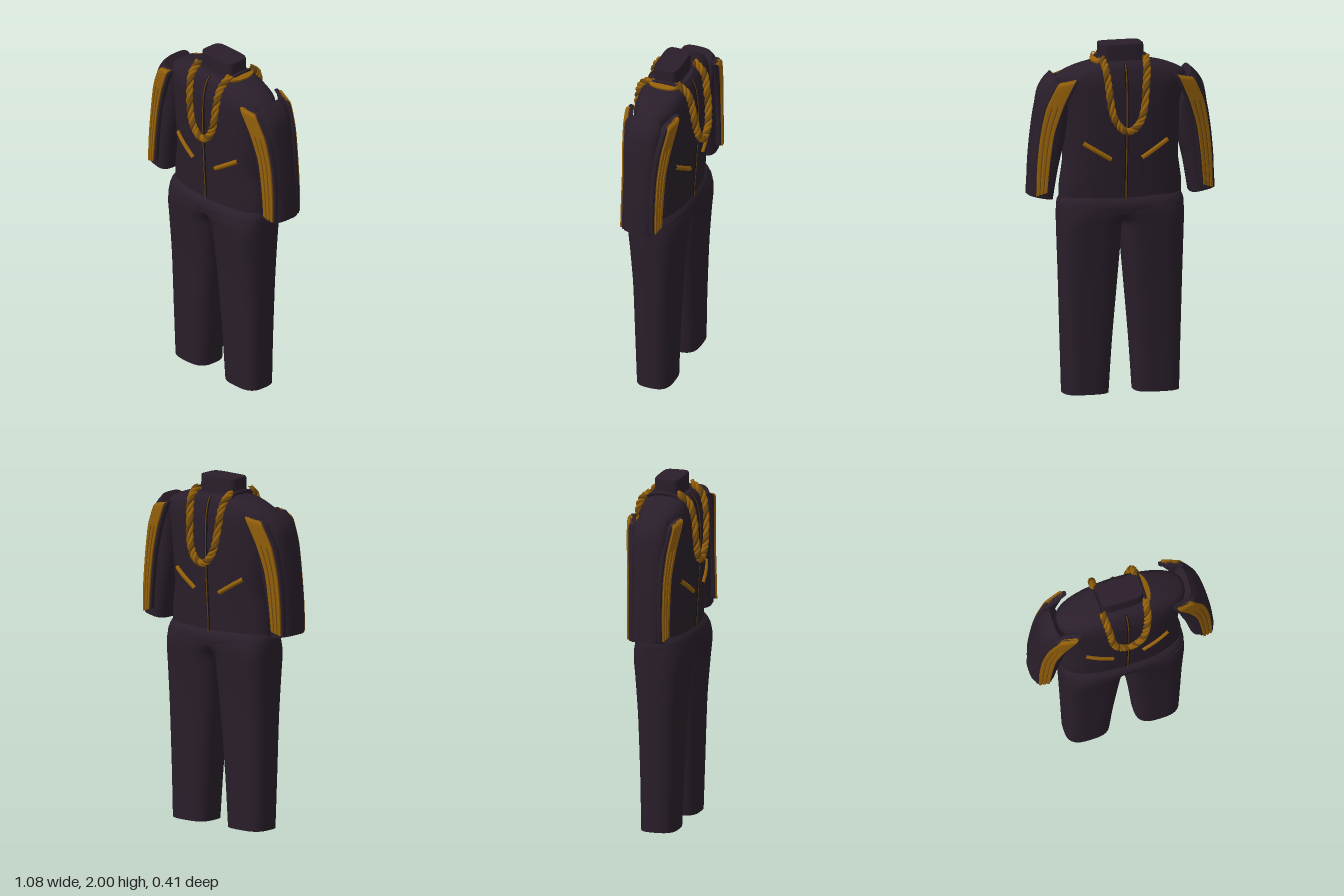
import * as THREE from 'three';

const mat = (name, color) => {
  const m = new THREE.MeshStandardMaterial({ color });
  m.name = name;
  return m;
};

// Skin a body through sections [innerX, innerY, outerX, outerY, zFront, zBack, zRise], listed from bottom to top
function loft(sections, n = 2.6, sides = 40, sub = 5) {
  const rail = (f) => new THREE.CatmullRomCurve3(sections.map(f), false, 'catmullrom', 0.4);
  const inner = rail((s) => new THREE.Vector3(s[0], s[1], 0));
  const outer = rail((s) => new THREE.Vector3(s[2], s[3], 0));
  const depth = rail((s) => new THREE.Vector3(s[4], s[5], s[6] ?? 0));
  const rows = (sections.length - 1) * sub;
  const pos = [], idx = [];
  const pow = (v) => Math.sign(v) * Math.abs(v) ** (2 / n);
  for (let i = 0; i <= rows; i++) {
    const a = inner.getPoint(i / rows), b = outer.getPoint(i / rows), d = depth.getPoint(i / rows);
    for (let j = 0; j < sides; j++) {
      const th = (j / sides) * Math.PI * 2;
      const c = pow(Math.cos(th)), s = pow(Math.sin(th));
      pos.push((a.x + b.x) / 2 + c * (b.x - a.x) / 2, (a.y + b.y) / 2 + c * (b.y - a.y) / 2,
        (d.x + d.y) / 2 + s * (d.x - d.y) / 2 + c * d.z / 2);
    }
  }
  for (let i = 0; i < rows; i++) for (let j = 0; j < sides; j++) {
    const a = i * sides + j, b = i * sides + (j + 1) % sides;
    idx.push(a, a + sides, b, b, a + sides, b + sides);
  }
  // end caps with their own vertices so that the rims stay sharp
  for (const row of [0, rows]) {
    const base = pos.length / 3, mid = [0, 0, 0];
    for (let j = 0; j < sides * 3; j++) {
      const v = pos[row * sides * 3 + j];
      pos.push(v);
      mid[j % 3] += v / sides;
    }
    pos.push(...mid);
    for (let j = 0; j < sides; j++) {
      const p = base + j, q = base + (j + 1) % sides;
      idx.push(base + sides, row ? q : p, row ? p : q);
    }
  }
  const g = new THREE.BufferGeometry();
  g.setAttribute('position', new THREE.Float32BufferAttribute(pos, 3));
  g.setIndex(idx);
  g.computeVertexNormals();
  return g;
}

const mirrorX = (s) => s.map(([a, b, c, d, f, k, r = 0]) => [-c, d, -a, b, f, k, -r]);
const level = (y, w, f, b) => [-w, y, w, y, f, b];

const TORSO = [
  level(1.09, 0.35, 0.15, -0.115), level(1.2, 0.352, 0.155, -0.12), level(1.35, 0.332, 0.163, -0.13),
  level(1.5, 0.34, 0.17, -0.138), level(1.65, 0.352, 0.174, -0.142), level(1.77, 0.378, 0.17, -0.138),
  level(1.83, 0.365, 0.158, -0.128), level(1.875, 0.27, 0.142, -0.116), level(1.905, 0.14, 0.115, -0.095),
];
const TORSO_N = 2.4;

// Point on the jacket surface, on the front (dir 1) or back (dir -1)
function onTorso(x, y, dir, lift) {
  let i = 0;
  while (i < TORSO.length - 2 && TORSO[i + 1][1] < y) i++;
  const A = TORSO[i], B = TORSO[i + 1], t = (y - A[1]) / (B[1] - A[1]);
  const v = (k) => THREE.MathUtils.lerp(A[k], B[k], t);
  const h = (v(4) - v(5)) / 2 * Math.max(0, 1 - Math.abs(x / v(2)) ** TORSO_N) ** (1 / TORSO_N);
  return new THREE.Vector3(x, y, (v(4) + v(5)) / 2 + dir * (h + lift));
}

// One strand wound around a path
class Strand extends THREE.Curve {
  constructor(path, turns, phase, r) {
    super();
    Object.assign(this, { path, turns, phase, r });
  }
  getPoint(t, target = new THREE.Vector3()) {
    const p = this.path.getPoint(t), tan = this.path.getTangent(t);
    const u = new THREE.Vector3(0, 0, 1).addScaledVector(tan, -tan.z).normalize();
    const v = new THREE.Vector3().crossVectors(tan, u);
    const a = t * this.turns * Math.PI * 2 + this.phase;
    return target.copy(p).addScaledVector(u, Math.cos(a) * this.r).addScaledVector(v, Math.sin(a) * this.r);
  }
}

export function createModel() {
  const model = new THREE.Group();
  model.name = 'tracksuit';
  const cloth = mat('dark plum cloth', 0x291e2a);
  const gold = mat('gold', 0x94600a);
  const bronze = mat('dark gold', 0x68450f);
  const seam = mat('seam black', 0x171016);
  const add = (name, geo, m, parent = model) => {
    const mesh = new THREE.Mesh(geo, m);
    mesh.name = name;
    parent.add(mesh);
    return mesh;
  };
  const tube = (pts, r, seg = 40) => new THREE.TubeGeometry(new THREE.CatmullRomCurve3(pts), seg, r, 8);

  // jacket body and collar
  add('jacketBody', loft(TORSO, TORSO_N, 56), cloth);
  add('collar', loft([level(1.84, 0.135, 0.1, -0.075), level(1.91, 0.127, 0.09, -0.065),
    level(1.99, 0.125, 0.087, -0.062), level(2.0, 0.122, 0.084, -0.06)], 5, 40, 3), cloth);

  // trousers
  add('hips', loft([level(1.04, 0.357, 0.172, -0.135), level(1.08, 0.362, 0.178, -0.14),
    level(1.11, 0.357, 0.17, -0.132), level(1.135, 0.345, 0.148, -0.113)], 3, 56), cloth);
  const leg = [
    [0.075, 0, 0.335, 0, 0.12, -0.09], [0.055, 0.3, 0.343, 0.3, 0.13, -0.095],
    [0.025, 0.65, 0.352, 0.65, 0.143, -0.108], [0.006, 0.88, 0.358, 0.88, 0.163, -0.125],
    [-0.004, 0.98, 0.36, 0.98, 0.174, -0.135], [-0.08, 1.04, 0.361, 1.04, 0.178, -0.139],
    [-0.2, 1.09, 0.36, 1.09, 0.174, -0.136],
  ];

  // sleeves
  const sleeve = [
    [0.4, 1.125, 0.542, 1.155, 0.105, -0.075], [0.37, 1.3, 0.529, 1.36, 0.11, -0.08],
    [0.335, 1.45, 0.508, 1.55, 0.115, -0.085], [0.32, 1.54, 0.478, 1.74, 0.122, -0.09],
    [0.315, 1.64, 0.44, 1.81, 0.125, -0.095], [0.345, 1.76, 0.4, 1.85, 0.11, -0.08],
  ];

  // sleeve stripe path: inner x, outer x, y, front z, back z
  const stripe = [
    [0.455, 0.512, 1.18, 0.117, -0.09], [0.44, 0.507, 1.35, 0.116, -0.093], [0.415, 0.49, 1.52, 0.118, -0.098],
    [0.365, 0.458, 1.68, 0.132, -0.113], [0.31, 0.405, 1.8, 0.147, -0.129], [0.295, 0.385, 1.825, 0.142, -0.124],
  ];
  // part of the stripe width from fraction a to b, between two heights off the sleeve, sloping outwards
  const band = (a, b, out, into, back) => stripe.map(([xi, xo, y, zf, zb]) => {
    const w = xo - xi, slope = back ? 0.28 : -0.28;
    const z = (back ? zb : zf) + slope * w * ((a + b) / 2 - 0.5);
    return [xi + w * a, y - 0.02 * a, xi + w * b, y - 0.02 * b,
      z + (back ? into : out), z - (back ? out : into), slope * w * (b - a)];
  });

  for (const [side, flip] of [['left', (s) => s], ['right', mirrorX]]) {
    const half = new THREE.Group();
    half.name = side + 'Half';
    model.add(half);
    add(side + 'TrouserLeg', loft(flip(leg), 3), cloth, half);
    add(side + 'Sleeve', loft(flip(sleeve), 3), cloth, half);
    for (const back of [false, true]) {
      const where = side + (back ? 'Back' : 'Front');
      add(where + 'StripeBacking', loft(flip(band(-0.25, 1.2, 0.003, 0.03, back)), 5, 20), cloth, half);
      add(where + 'StripeGround', loft(flip(band(-0.02, 1.02, 0.008, 0.01, back)), 8, 16), bronze, half);
      for (let k = 0; k < 3; k++) {
        add(where + 'Stripe' + (k + 1), loft(flip(band(k * 0.36, k * 0.36 + 0.28, 0.013, 0.005, back)), 8, 12), gold, half);
      }
      // solid gold upper part of the stripes
      add(where + 'StripeTop', loft(flip(band(0, 1, 0.0135, 0.005, back).slice(3)), 8, 12), gold, half);
    }
  }

  for (const dir of [1, -1]) {
    const face = dir > 0 ? 'front' : 'back';
    // zip with a dark seam on both sides
    const zip = (x, r, lift) => tube(Array.from({ length: 24 }, (_, i) => onTorso(x, 1.12 + i * 0.0337, dir, lift)), r, 60);
    add(face + 'Zip', zip(0, 0.004, 0.004), bronze);
    for (const x of [-0.005, 0.005]) add(face + 'ZipSeam', zip(x, 0.0045, 0.001), seam);

    // slanted pocket trims
    for (const s of [1, -1]) {
      const pts = [0, 0.33, 0.67, 1].map((t) => onTorso(s * (0.245 - 0.155 * t), 1.452 - 0.095 * t, dir, 0.003));
      add(face + 'PocketTrim', tube(pts, 0.0135, 12), gold);
    }

    // rope chain hanging in a U: half width, height, front z, back z
    const shape = [[0.128, 1.93, 0.085, -0.07], [0.12, 1.875, 0.15, -0.13], [0.108, 1.77, 0.175, -0.155],
      [0.09, 1.63, 0.182, -0.172], [0.055, 1.555, 0.184, -0.18]];
    const place = (s) => ([x, y, f, b]) => new THREE.Vector3(s * x, y, dir > 0 ? f : b);
    const path = new THREE.CatmullRomCurve3([...shape.map(place(-1)), place(1)([0, 1.522, 0.184, -0.182]), ...shape.map(place(1)).reverse()]);
    for (let k = 0; k < 3; k++) {
      add(face + 'ChainStrand', new THREE.TubeGeometry(new Strand(path, 9, k * Math.PI * 2 / 3, 0.011), 220, 0.0115, 7),
        k === 2 ? bronze : gold);
    }
  }

  // cords crossing the shoulders beside the collar
  for (const [side, x] of [['right', -0.137], ['left', 0.13]]) {
    const pts = [[0.09, -0.015], [0.04, 0], [-0.04, 0], [-0.09, -0.015]].map(([z, d]) => new THREE.Vector3(x, 1.922 + d, z));
    add(side + 'ShoulderCord', tube(pts, 0.012, 16), cloth);
  }
  const patch = add('leftShoulderPatch', new THREE.CylinderGeometry(0.5, 0.5, 0.014, 24), gold);
  patch.scale.set(0.075, 1, 0.18);
  patch.position.set(0.135, 1.913, 0.01);
  patch.rotation.z = -0.3;
  return model;
}
